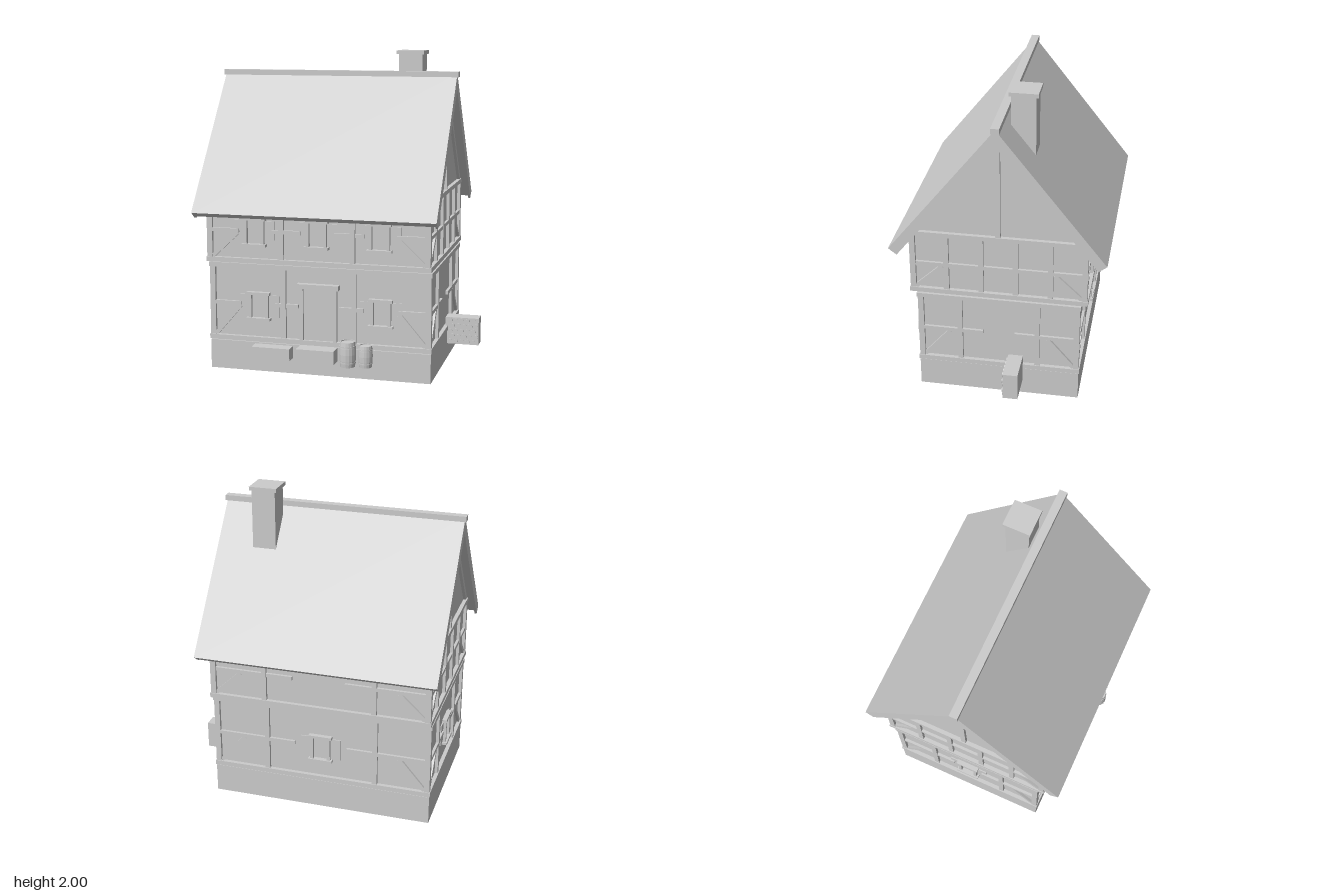
import * as THREE from 'three';

const CX = -0.07; // house centre along x

export function createModel() {
  const root = new THREE.Group();
  root.name = 'timberFramedHouse';
  const plaster = new THREE.MeshStandardMaterial({ color: 0xcccccc });
  plaster.name = 'pale grey';

  const add = (parent, name, geo) => {
    const m = new THREE.Mesh(geo, plaster);
    m.name = name;
    parent.add(m);
    return m;
  };
  // box given by its limits on each axis
  const box = (parent, name, x0, x1, y0, y1, z0, z1) => {
    const m = add(parent, name, new THREE.BoxGeometry(x1 - x0, y1 - y0, z1 - z0));
    m.position.set((x0 + x1) / 2, (y0 + y1) / 2, (z0 + z1) / 2);
    return m;
  };
  // slanted beam in a facade's own plane
  const brace = (parent, name, a, b, width, z0, z1) => {
    const dx = b[0] - a[0], dy = b[1] - a[1];
    const m = add(parent, name, new THREE.BoxGeometry(Math.hypot(dx, dy), width, z1 - z0));
    m.position.set((a[0] + b[0]) / 2, (a[1] + b[1]) / 2, (z0 + z1) / 2);
    m.rotation.z = Math.atan2(dy, dx);
  };
  // (z, y) outline swept along x
  const sweep = (name, pts, x0, x1) => {
    const shape = new THREE.Shape(pts.map(([z, y]) => new THREE.Vector2(-z, y)));
    const m = add(root, name, new THREE.ExtrudeGeometry(shape, { depth: x1 - x0, bevelEnabled: false }));
    m.rotation.y = Math.PI / 2;
    m.position.x = x0;
  };

  // Solid core
  box(root, 'stoneBase', -0.78, 0.64, 0, 0.185, -0.51, 0.51);
  box(root, 'lowerWalls', -0.76, 0.62, 0.18, 0.7, -0.49, 0.49);
  box(root, 'upperWalls', -0.76, 0.62, 0.7, 1.12, -0.53, 0.53);
  box(root, 'jettyFloor', -0.78, 0.64, 0.7, 0.715, -0.55, 0.55);
  sweep('gableWalls', [[-0.53, 1.115], [0.53, 1.115], [0, 1.785]], -0.76, 0.62);

  // Window with surround, sill, glazing bars and flat shutters
  const makeWindow = (parent, u, y, d) => {
    const g = new THREE.Group();
    g.name = 'window';
    g.position.set(u, y, d);
    parent.add(g);
    for (const s of [-1, 1]) {
      box(g, 'jamb', s * 0.055 - 0.01, s * 0.055 + 0.01, -0.075, 0.075, -0.03, 0.006);
      box(g, 'shutter', s * 0.098 - 0.033, s * 0.098 + 0.033, -0.07, 0.07, -0.021, -0.013);
    }
    box(g, 'lintel', -0.075, 0.075, 0.072, 0.09, -0.03, 0.01);
    box(g, 'sill', -0.078, 0.078, -0.09, -0.074, -0.03, 0.016);
    box(g, 'pane', -0.048, 0.048, -0.075, 0.073, -0.022, -0.016);
  };

  // One storey of one facade: sill beam, top plate, posts, rails, corner braces
  const storey = (f, half, d, y, o) => {
    const [sill, top, rail] = y, back = d - 0.03;
    box(f, 'sillBeam', -half - 0.005, half + 0.005, sill, sill + 0.03, back, d + 0.005);
    box(f, 'topPlate', -half - 0.005, half + 0.005, top, top + 0.028, back, d + 0.005);
    for (const s of [-1, 1]) {
      const c = s * (half - 0.0175);
      box(f, 'cornerPost', c - 0.0175, c + 0.0175, sill + 0.03, top, back, d);
      brace(f, 'cornerBrace', [s * (half - 0.035), sill + 0.035], [s * (half - 0.2), rail], 0.025, back, d - 0.004);
      for (const [a, b] of o.rails)
        box(f, 'rail', Math.min(s * a, s * b), Math.max(s * a, s * b), rail, rail + 0.024, back, d - 0.003);
      for (const p of o.posts)
        box(f, 'post', s * p - 0.016, s * p + 0.016, sill + 0.03, top, back, d - 0.001);
    }
    for (const [u, wy] of o.windows || []) makeWindow(f, u, wy, d);
  };

  const LOW = [0.19, 0.66, 0.418], UP = [0.7, 1.1, 0.89];
  const facade = (name, turn) => {
    const f = new THREE.Group();
    f.name = name;
    f.position.x = CX;
    f.rotation.y = turn;
    root.add(f);
    return f;
  };

  // Front facade
  const front = facade('frontFacade', 0);
  storey(front, 0.71, 0.51, LOW, {
    posts: [0.227], rails: [[0.13, 0.285], [0.505, 0.68]],
    windows: [[-0.39, 0.418], [0.395, 0.418]],
  });
  storey(front, 0.71, 0.55, UP, {
    posts: [0.227], rails: [[0.1, 0.3], [0.5, 0.68]],
    windows: [[-0.4, 0.897], [0, 0.897], [0.395, 0.897]],
  });

  // Front door with jambs and lintel
  const door = new THREE.Group();
  door.name = 'frontDoor';
  front.add(door);
  box(door, 'doorLeaf', -0.1, 0.1, 0.215, 0.56, 0.48, 0.499);
  for (const s of [-1, 1]) box(door, 'doorJamb', s * 0.108 - 0.011, s * 0.108 + 0.011, 0.215, 0.555, 0.48, 0.517);
  box(door, 'doorLintel', -0.134, 0.134, 0.55, 0.58, 0.48, 0.53);

  // Back facade
  const back = facade('backFacade', Math.PI);
  storey(back, 0.71, 0.51, LOW, { posts: [0.355], rails: [[0.17, 0.68]], windows: [[0, 0.418]] });
  storey(back, 0.71, 0.55, UP, { posts: [0.355], rails: [[0.17, 0.68]] });

  // Gable-end facades
  for (const s of [1, -1]) {
    const side = facade(s > 0 ? 'leftFacade' : 'rightFacade', s * Math.PI / 2);
    storey(side, 0.51, 0.71, LOW, {
      posts: [0.245], rails: [[0.1, 0.48]], windows: s < 0 ? [[0, 0.418]] : [],
    });
    storey(side, 0.55, 0.71, UP, { posts: [0.107, 0.323], rails: [[0, 0.52]] });
    box(side, 'kingPost', -0.016, 0.016, 1.125, 1.78, 0.68, 0.709);
    for (const t of [-1, 1]) brace(side, 'gableRafter', [t * 0.515, 1.12], [0, 1.767], 0.03, 0.68, 0.708);
  }

  // Roof slabs, barge boards and ridge
  const chevron = (outer, drop) => {
    const inner = 1.86 - drop / 0.623;
    const ez = outer - 0.782 * drop, ey = 1.86 - 1.256 * outer - 0.623 * drop;
    const oy = 1.86 - 1.256 * outer;
    return [[-ez, ey], [0, inner], [ez, ey], [outer, oy], [0, 1.86], [-outer, oy]];
  };
  sweep('roofSlabs', chevron(0.668, 0.04), -0.83, 0.69);
  sweep('bargeBoardRight', chevron(0.666, 0.065), -0.834, -0.82);
  sweep('bargeBoardLeft', chevron(0.666, 0.065), 0.68, 0.694);
  box(root, 'ridgeCap', -0.845, 0.705, 1.838, 1.872, -0.026, 0.026);

  // Chimney
  box(root, 'chimneyStack', 0.31, 0.46, 1.5, 1.98, -0.202, -0.052);
  box(root, 'chimneyCap', 0.296, 0.472, 1.976, 2, -0.216, -0.04);

  // Trough and doorstep
  box(root, 'trough', -0.483, -0.235, 0.1, 0.177, 0.5, 0.59);
  box(root, 'doorstep', -0.19, 0.052, 0.1, 0.185, 0.5, 0.6);

  // Barrels with hoops
  const barrel = (x, z, r, h) => {
    const g = new THREE.Group();
    g.name = 'barrel';
    g.position.set(x, 0.1, z);
    root.add(g);
    const profile = [[0, 0], [0.88, 0], [0.97, 0.25], [1, 0.5], [0.97, 0.75], [0.88, 1], [0.8, 1], [0.8, 0.96], [0, 0.96]];
    add(g, 'staves', new THREE.LatheGeometry(profile.map(([a, b]) => new THREE.Vector2(a * r, b * h)), 16)
      .toNonIndexed()).geometry.computeVertexNormals();
    for (const t of [0.18, 0.82]) {
      const hoop = add(g, 'hoop', new THREE.CylinderGeometry(r * 0.99, r * 0.99, h * 0.05, 16));
      hoop.position.y = t * h;
    }
  };
  barrel(0.14, 0.592, 0.052, 0.157);
  barrel(0.248, 0.575, 0.045, 0.135);

  // Stacked firewood beside the left wall
  const pile = new THREE.Group();
  pile.name = 'firewoodStack';
  root.add(pile);
  box(pile, 'stackBody', 0.63, 0.847, 0.1, 0.277, -0.155, -0.062);
  for (let r = 0; r < 5; r++) {
    for (let c = 0; c < 5; c++) {
      const log = add(pile, 'log', new THREE.CylinderGeometry(0.015, 0.015, 0.03, 10));
      log.rotation.x = Math.PI / 2;
      log.position.set(0.66 + c * 0.038 + (r % 2) * 0.017, 0.118 + r * 0.035, -0.07);
    }
  }
  return root;
}
